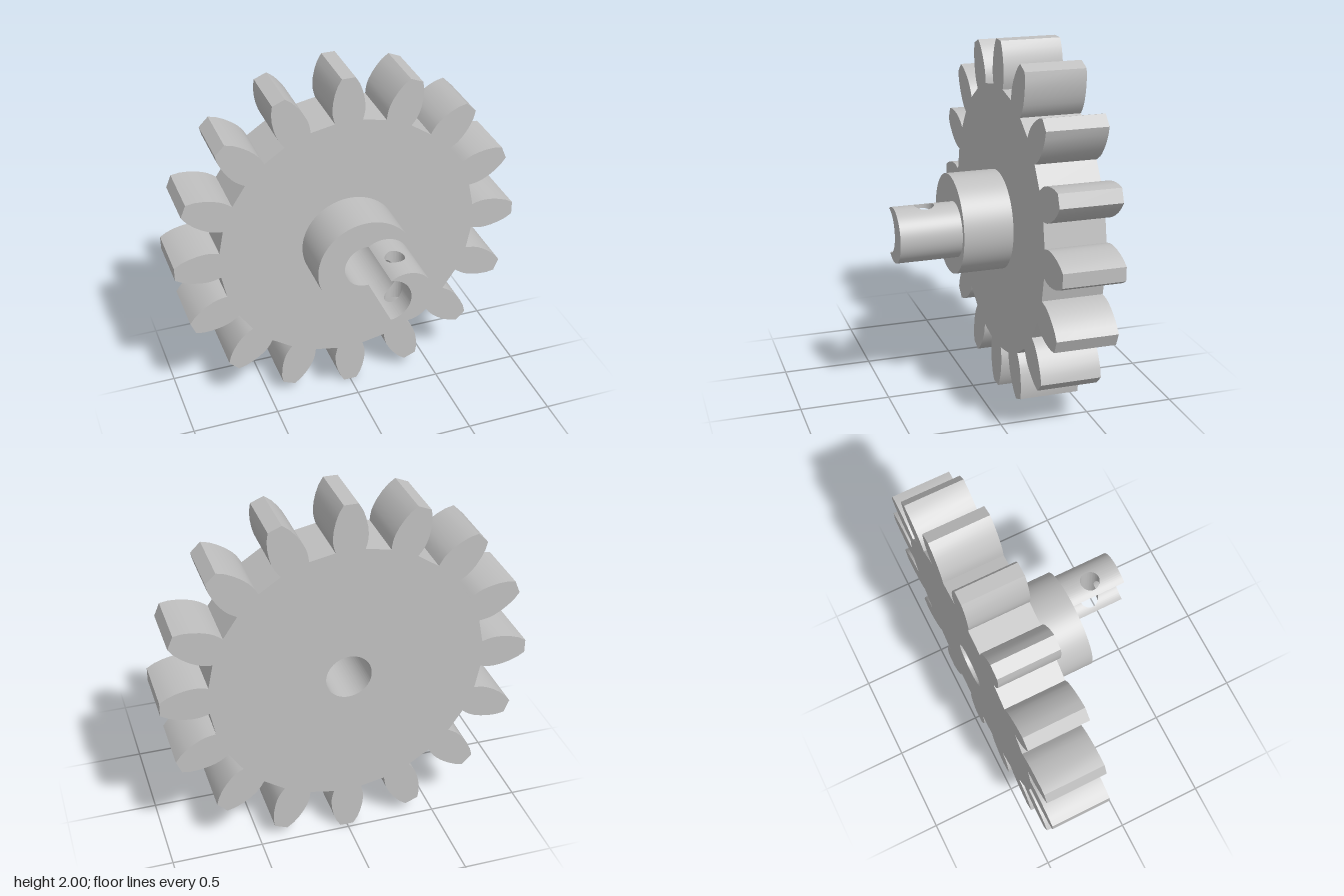
import * as THREE from 'three';
import { toCreasedNormals } from 'three/addons/utils/BufferGeometryUtils.js';

const CENTER_Y = 1, BORE = 0.125, CREASE = 0.5;
const steel = new THREE.MeshStandardMaterial({ color: 0xc0c0c0 });
steel.name = 'grey';

function addMesh(group, name, geometry) {
  const mesh = new THREE.Mesh(toCreasedNormals(geometry, CREASE), steel);
  mesh.name = name;
  group.add(mesh);
}

// Extrude a bored outline from z0 to z1
function boredPlate(shape, z0, z1) {
  const hole = new THREE.Path();
  hole.absarc(0, 0, BORE, 0, Math.PI * 2, true);
  shape.holes.push(hole);
  const g = new THREE.ExtrudeGeometry(shape, { depth: z1 - z0, bevelEnabled: false, curveSegments: 64 });
  return g.translate(0, 0, z0);
}

// Gear outline: one half-tooth flank [half width, height], mirrored and repeated
function gearShape(teeth) {
  const flank = [[0.078, 0.746], [0.085, 0.77], [0.091, 0.80], [0.092, 0.83], [0.088, 0.87],
    [0.078, 0.915], [0.062, 0.96], [0.038, 1]];
  const tooth = [...flank, ...flank.map(([x, y]) => [-x, y]).reverse()];
  const points = [];
  for (let i = 0; i < teeth; i++) {
    const angle = (i / teeth) * Math.PI * 2;
    for (const [x, y] of tooth) points.push(new THREE.Vector2(x, y).rotateAround(new THREE.Vector2(), angle));
  }
  return new THREE.Shape(points);
}

// Offset round pin, cut by the bore to a crescent and cross-drilled vertically
function crescentPin(z0, z1) {
  const cx = 0.098, r = 0.152, hx = 0.095, hz = 0.305, hr = 0.054;
  const root = x => Math.sqrt(Math.max(0, x));
  const outer = x => root(r * r - (x - cx) ** 2);
  const inner = x => root(BORE * BORE - x * x);
  const drill = x => root(hr * hr - (x - hx) ** 2);
  const start = (cx * cx + BORE * BORE - r * r) / (2 * cx);

  // Slice positions, denser where each curve turns steep
  const xs = [start];
  for (let i = 0; i <= 32; i++) {
    const c = Math.cos((i / 32) * Math.PI);
    xs.push(cx + r * c, hx + hr * c, BORE * c);
  }
  const slices = xs.filter(x => x >= start).sort((a, b) => a - b)
    .filter((x, i, all) => i === 0 || x - all[i - 1] > 1e-6);

  const pos = [];
  for (const side of [1, -1]) {
    const quad = (a, b, c, d, flip) => {
      const q = [a, b, c, d].map(([x, y, z]) => [x, y * side, z]);
      if (flip !== (side < 0)) q.reverse();
      for (const k of [0, 1, 2, 0, 2, 3]) pos.push(...q[k]);
    };
    for (let i = 0; i + 1 < slices.length; i++) {
      const a = slices[i], b = slices[i + 1];
      const ha = drill(a), hb = drill(b);
      // Solid runs along z at both slices: [low a, low b, high a, high b]
      const runs = ha + hb > 1e-5
        ? [[z0, z0, hz - ha, hz - hb], [hz + ha, hz + hb, z1, z1]]
        : [[z0, z0, z1, z1]];
      for (const [la, lb, ua, ub] of runs) {
        const oa = outer(a), ob = outer(b), ia = inner(a), ib = inner(b);
        quad([a, oa, la], [a, oa, ua], [b, ob, ub], [b, ob, lb], false);
        if (ia + ib > 1e-5) quad([a, ia, la], [a, ia, ua], [b, ib, ub], [b, ib, lb], true);
        quad([a, ia, ua], [b, ib, ub], [b, ob, ub], [a, oa, ua], false);
        quad([a, ia, la], [b, ib, lb], [b, ob, lb], [a, oa, la], true);
      }
    }
  }
  const g = new THREE.BufferGeometry();
  g.setAttribute('position', new THREE.Float32BufferAttribute(pos, 3));
  return g;
}

export function createModel() {
  const model = new THREE.Group();
  model.name = 'spurGear';
  const parts = new THREE.Group();
  parts.name = 'gearAssembly';
  parts.position.y = CENTER_Y;
  model.add(parts);

  addMesh(parts, 'toothedWheel', boredPlate(gearShape(16), -0.475, -0.14));
  addMesh(parts, 'hub', boredPlate(new THREE.Shape().absarc(0, 0, 0.277, 0, Math.PI * 2, false), -0.14, 0.135));
  addMesh(parts, 'crossDrilledPin', crescentPin(0.135, 0.475));
  return model;
}
